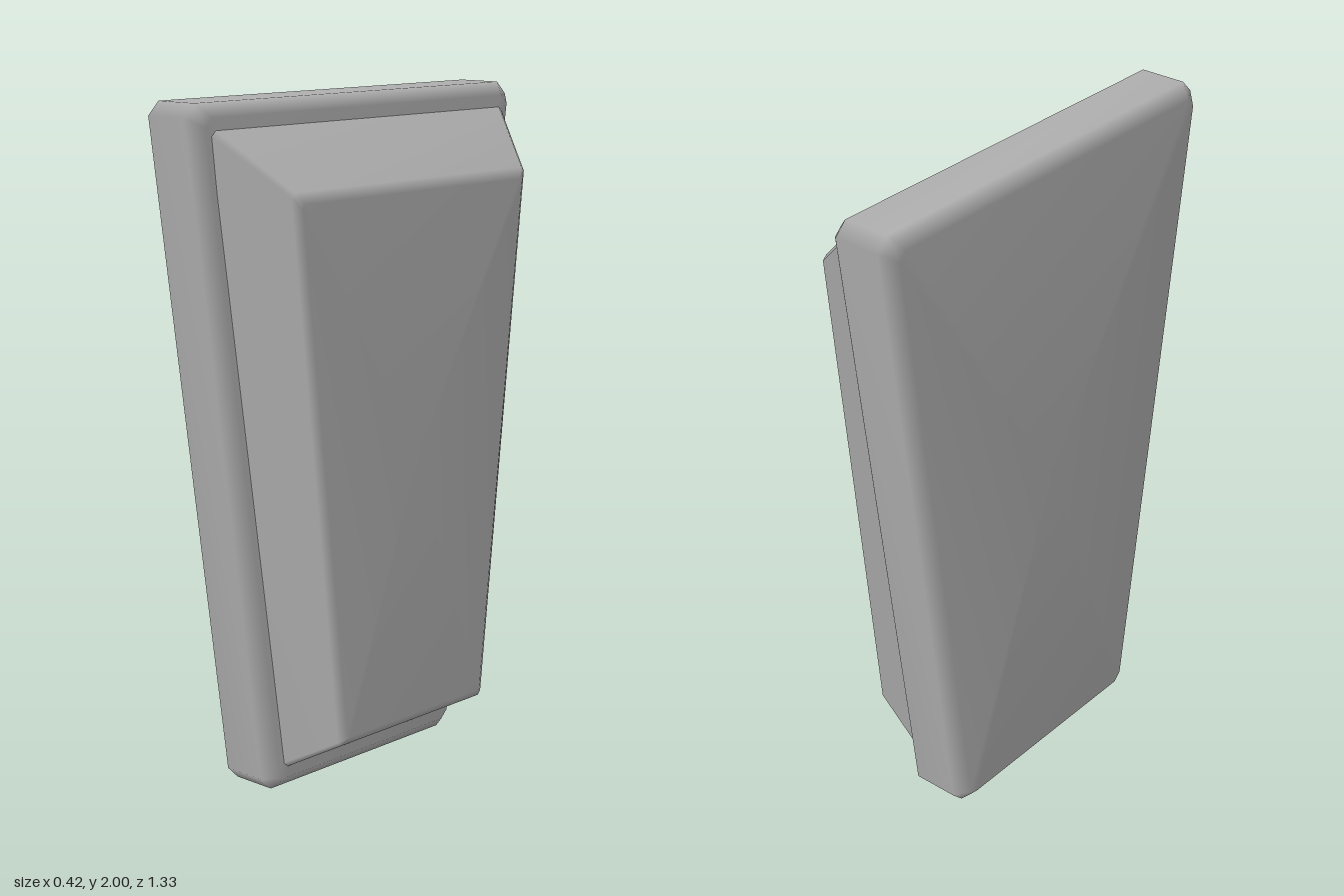
import * as THREE from 'three';

// Trapezoid with clipped corners: heights y0..y1, half depths at bottom and top.
function outline(y0, y1, bottom, top, clip) {
  const half = [
    [y1, top - clip], [y1 - clip, top],
    [y0 + clip, bottom], [y0, bottom - clip],
  ];
  return [...half, ...half.slice().reverse().map(([y, z]) => [y, -z])];
}

// Smooth loft through matching outlines placed along x.
function loft(sections, closeStart) {
  const pos = [], index = [];
  const n = sections[0].ring.length, last = sections.length - 1;
  for (const { x, ring } of sections) for (const [y, z] of ring) pos.push(x, y, z);
  for (let k = 0; k < last; k++) {
    for (let i = 0; i < n; i++) {
      const a = k * n + i, b = k * n + (i + 1) % n;
      index.push(a, b, b + n, a, b + n, a + n);
    }
  }
  const cap = (k, flip) => {
    const c = pos.length / 3, { x, ring } = sections[k];
    pos.push(x, (ring[0][0] + ring[3][0]) / 2, 0);
    for (let i = 0; i < n; i++) {
      const a = k * n + i, b = k * n + (i + 1) % n;
      index.push(c, flip ? b : a, flip ? a : b);
    }
  };
  cap(last, false);
  if (closeStart) cap(0, true);
  const geo = new THREE.BufferGeometry();
  geo.setAttribute('position', new THREE.Float32BufferAttribute(pos, 3));
  geo.setIndex(index);
  geo.computeVertexNormals();
  return geo;
}

export function createModel() {
  const model = new THREE.Group();
  model.name = 'taperedPanel';
  const grey = new THREE.MeshStandardMaterial({ color: 0xb0b0b0 });
  grey.name = 'grey';

  const add = (name, geo) => {
    const mesh = new THREE.Mesh(geo, grey);
    mesh.name = name;
    model.add(mesh);
  };

  // Backing plate with bevelled rims
  const full = outline(0, 2, 0.405, 0.665, 0.038);
  const inset = outline(0.038, 1.962, 0.37, 0.625, 0.025);
  add('backingPlate', loft([
    { x: -0.21, ring: inset },
    { x: -0.17, ring: full },
    { x: -0.03, ring: full },
    { x: 0.01, ring: inset },
  ], true));

  // Raised panel with sloping sides; its open base is sunk into the plate
  add('raisedPanel', loft([
    { x: -0.01, ring: outline(0.06, 1.945, 0.355, 0.615, 0.015) },
    { x: 0.192, ring: outline(0.17, 1.767, 0.315, 0.488, 0.012) },
    { x: 0.208, ring: outline(0.195, 1.735, 0.292, 0.46, 0.012) },
  ], false));

  return model;
}
